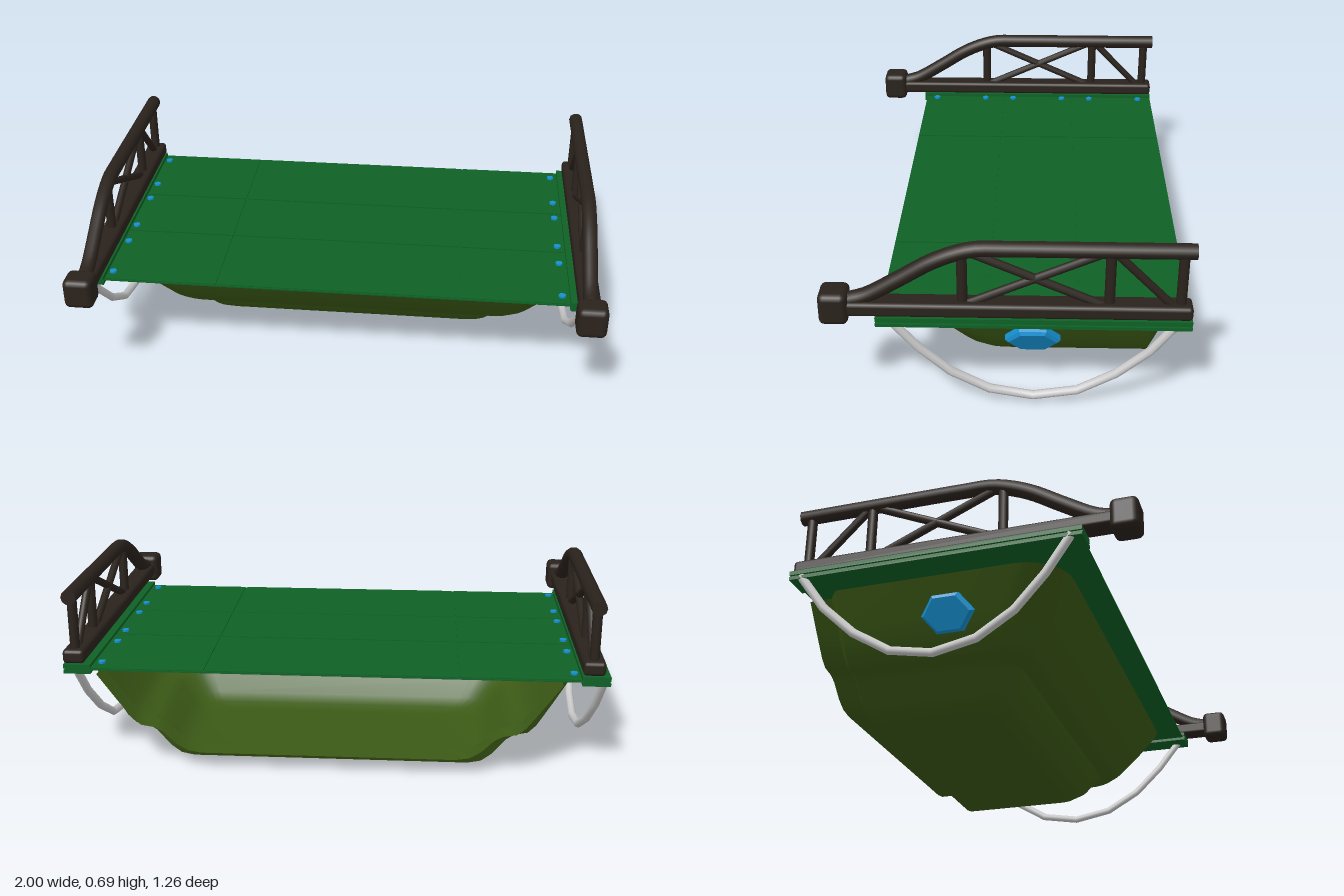
import * as THREE from 'three';
import { toCreasedNormals } from 'three/addons/utils/BufferGeometryUtils.js';
import { RoundedBoxGeometry } from 'three/addons/geometries/RoundedBoxGeometry.js';

const mat = (color, extra = {}) => new THREE.MeshStandardMaterial({ color, ...extra });
const V = (x, y, z) => new THREE.Vector3(x, y, z);

export function createModel() {
  const model = new THREE.Group();
  const olive = mat(0x3c5a16, { side: THREE.DoubleSide });
  const green = mat(0x0e6126);
  const dark = mat(0x2a221c);
  const blue = mat(0x1590d0);
  const grey = mat(0xcccccc);

  const add = (parent, name, geometry, material, x = 0, y = 0, z = 0) => {
    const mesh = new THREE.Mesh(geometry, material);
    mesh.name = name;
    mesh.position.set(x, y, z);
    parent.add(mesh);
    return mesh;
  };

  // Round strut between two points
  const strut = (parent, name, a, b, r) => {
    const d = b.clone().sub(a);
    const m = add(parent, name, new THREE.CylinderGeometry(r, r, d.length(), 10), dark);
    m.position.copy(a).add(b).multiplyScalar(0.5);
    m.quaternion.setFromUnitVectors(V(0, 1, 0), d.normalize());
  };

  // Stepped hull, open at the back with a narrower joining collar
  add(model, 'hull', hullGeometry(), olive, 0.012);

  // Deck: thin sheet with nine panels divided by shallow seams
  const deck = new THREE.Group();
  deck.name = 'deck';
  model.add(deck);
  add(deck, 'deckSheet', new THREE.BoxGeometry(1.8, 0.005, 1.06), green, 0, 0.3865, -0.1);
  const xs = [-0.9, -0.46, 0.46, 0.9], zs = [-0.63, -0.25, 0.06, 0.43], gap = 0.008;
  for (let i = 0; i < 3; i++) {
    for (let j = 0; j < 3; j++) {
      add(deck, 'deckPanel', new THREE.BoxGeometry(xs[i + 1] - xs[i] - gap, 0.004, zs[j + 1] - zs[j] - gap), green,
        (xs[i] + xs[i + 1]) / 2, 0.391, (zs[j] + zs[j + 1]) / 2);
    }
  }

  for (const s of [1, -1]) {
    const side = new THREE.Group();
    side.name = s > 0 ? 'leftSide' : 'rightSide';
    model.add(side);
    const x = s * 0.94;

    // Grooved edge strip under the rail
    const sx = s > 0 ? 0.929 : -0.949;
    for (const [y, h, w] of [[0.397, 0.016, 0.1], [0.386, 0.008, 0.085], [0.376, 0.012, 0.1]]) {
      add(side, 'edgeStrip', new THREE.BoxGeometry(w, h, 1.07), green, sx, y, -0.095);
    }

    // Bolts along the deck edge
    for (const z of [-0.57, -0.34, -0.21, 0.02, 0.15, 0.38]) {
      add(side, 'bolt', new THREE.CylinderGeometry(0.014, 0.014, 0.016, 8), blue, s > 0 ? 0.85 : -0.875, 0.393, z);
    }

    // Truss rail
    const rail = new THREE.Group();
    rail.name = 'rail';
    side.add(rail);
    add(rail, 'lowerBeam', new RoundedBoxGeometry(0.08, 0.052, 1.19, 2, 0.014), dark, x, 0.433, -0.035);
    add(rail, 'bumper', new RoundedBoxGeometry(0.11, 0.118, 0.1, 2, 0.022), dark, x, 0.438, 0.579);
    const path = [[0.455, 0.53], [0.473, 0.47], [0.54, 0.355], [0.605, 0.25], [0.64, 0.17], [0.658, 0.1], [0.66, 0],
      [0.66, -0.3], [0.66, -0.63]].map(([y, z]) => V(x, y, z));
    add(rail, 'upperTube', new THREE.TubeGeometry(new THREE.CatmullRomCurve3(path), 40, 0.028, 10), dark);
    add(rail, 'tubeCap', new THREE.CircleGeometry(0.028, 10), dark, x, 0.66, -0.63).rotation.y = Math.PI;
    for (const z of [0.145, -0.35, -0.59]) {
      strut(rail, 'post', V(x, 0.44, z), V(x, 0.65, z), 0.018);
    }
    for (const [z0, z1] of [[0.13, -0.33], [-0.33, 0.13], [-0.565, -0.365]]) {
      strut(rail, 'brace', V(x, 0.445, z0), V(x, 0.65, z1), 0.015);
    }

    // Hanging rope
    const rx = s > 0 ? 0.947 : -0.985, swing = s > 0 ? -0.04 : 0.04;
    const rope = [[0.385, 0.4], [0.23, 0.28], [0.12, 0.16], [0.055, 0.03], [0.035, -0.1], [0.055, -0.23],
      [0.12, -0.35], [0.23, -0.48], [0.385, -0.59]]
      .map(([y, z]) => V(rx + swing * (0.385 - y) / 0.35, y, z));
    add(side, 'rope', new THREE.TubeGeometry(new THREE.CatmullRomCurve3(rope), 8, 0.016, 8), grey);

    // Hexagonal plate lying on the sloping wall
    const hex = new THREE.Shape([[0.085, 0], [0.042, 0.058], [-0.042, 0.058], [-0.085, 0], [-0.042, -0.058],
      [0.042, -0.058]].map(([a, b]) => new THREE.Vector2(a, b)));
    const plate = add(side, 'sidePlate', new THREE.ExtrudeGeometry(hex, {
      depth: 0.02, bevelSize: 0.01, bevelThickness: 0.01, bevelSegments: 1,
    }), blue, s * 0.83 + 0.014, 0.25, -0.093);
    plate.rotation.set(0.53, s * Math.PI / 2, 0, 'YXZ');
  }
  return model;
}

// Hull skin: U-shaped rings stacked from the rim down to the floor
function hullGeometry() {
  // height, half width, front z, corner radius
  const levels = [
    [0.37, 0.895, 0.335, 0.17], [0.25, 0.825, 0.255, 0.16], [0.16, 0.77, 0.185, 0.15], [0.13, 0.74, 0.15, 0.14],
    [0.12, 0.69, 0.1, 0.12], [0.1, 0.66, 0.09, 0.12], [0.04, 0.61, 0.05, 0.1], [0.01, 0.57, 0.01, 0.09],
    [0, 0.52, -0.03, 0.08], [0, 0, -0.03, 0.08],
  ];
  const collar = [[-0.63, 1], [-0.545, 1], [-0.53, 0.6], [-0.505, 0]];
  const arc = 6, pos = [], index = [];
  let columns = 0;
  levels.forEach(([y, w, f, r], j) => {
    const half = collar.map(([z, k]) => [w - 0.05 * k, y + 0.068 * k * (1 - y / 0.37), z]);
    for (let i = 0; i <= arc; i++) {
      const a = (i / arc) * Math.PI / 2;
      half.push([w - r + r * Math.cos(a), y, f - r + r * Math.sin(a)]);
    }
    if (w === 0) half.forEach((p) => { p[0] = 0; });
    const ring = [...half, ...half.slice().reverse().map(([x, py, z]) => [-x, py, z])];
    columns = ring.length;
    pos.push(...ring.flat());
    if (j === 0) return;
    for (let i = 0; i < columns - 1; i++) {
      const a = (j - 1) * columns + i, c = j * columns + i;
      index.push(a, a + 1, c, a + 1, c + 1, c);
    }
  });
  const g = new THREE.BufferGeometry();
  g.setAttribute('position', new THREE.Float32BufferAttribute(pos, 3));
  g.setIndex(index);
  return toCreasedNormals(g, 0.6);
}
